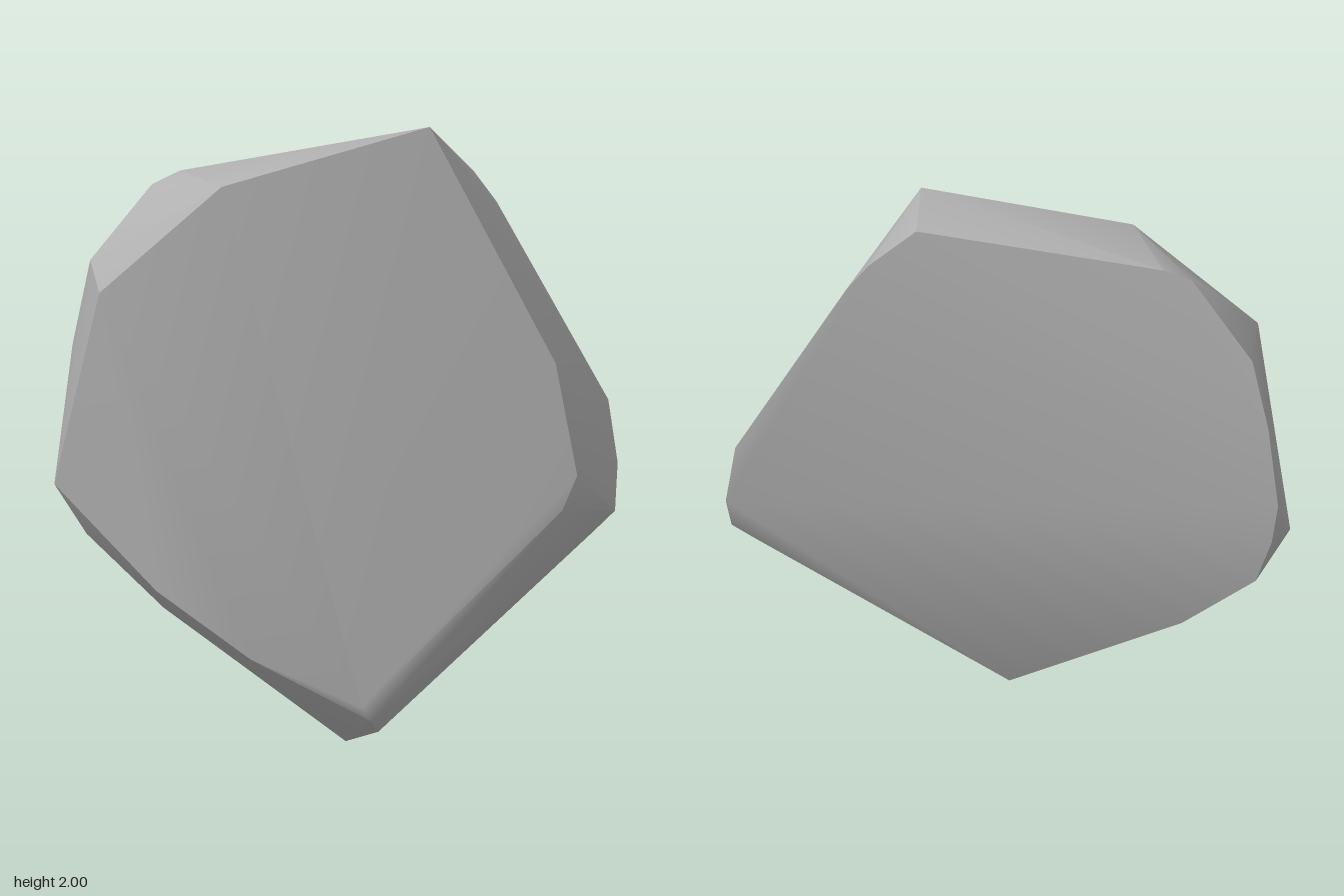
import * as THREE from 'three';
import { ConvexGeometry } from 'three/addons/geometries/ConvexGeometry.js';
import { toCreasedNormals } from 'three/addons/utils/BufferGeometryUtils.js';

export function createModel() {
  const group = new THREE.Group();
  group.name = 'stoneSlab';
  const stone = new THREE.MeshStandardMaterial({ color: 0xb0b0b0 });
  stone.name = 'grey stone';

  // Rim of the broad front face
  const frontRim = [
    [0.27, 2.0, 0.05], [-0.4, 1.84, 0.05], [-0.78, 1.49, -0.02],
    [-0.89, 0.81, -0.2], [-0.6, 0.5, 0.0], [-0.33, 0.31, 0.17],
    [0.01, 0.16, 0.265], [0.04, 0.11, 0.255], [0.67, 0.75, 0.19],
    [0.72, 0.86, 0.18], [0.66, 1.22, 0.13],
  ];
  // Chipped shoulder between the two faces
  const shoulder = [
    [-0.79, 1.57, -0.12], [-0.58, 1.79, -0.18], [-0.49, 1.83, -0.18],
    [0.08, 0.05, 0.18],
  ];
  // Rim of the gently folded back face
  const backRim = [
    [0.29, 1.94, -0.1], [0.44, 1.8, -0.09], [0.51, 1.7, -0.08],
    [0.86, 1.04, -0.03], [0.89, 0.83, -0.03], [0.87, 0.69, 0.03],
    [0.8, 0.63, 0.04], [-0.01, 0, 0.1], [-0.55, 0.4, -0.14],
    [-0.78, 0.63, -0.23], [-0.83, 0.8, -0.255], [-0.85, 0.95, -0.265],
    [-0.82, 1.25, -0.26], [-0.77, 1.5, -0.23],
  ];

  const points = [...frontRim, ...shoulder, ...backRim].map((p) => new THREE.Vector3(...p));
  // Soft folds within a face, sharp edges between faces
  const geometry = toCreasedNormals(new ConvexGeometry(points), 0.56);
  const slab = new THREE.Mesh(geometry, stone);
  slab.name = 'slab';
  group.add(slab);
  return group;
}
